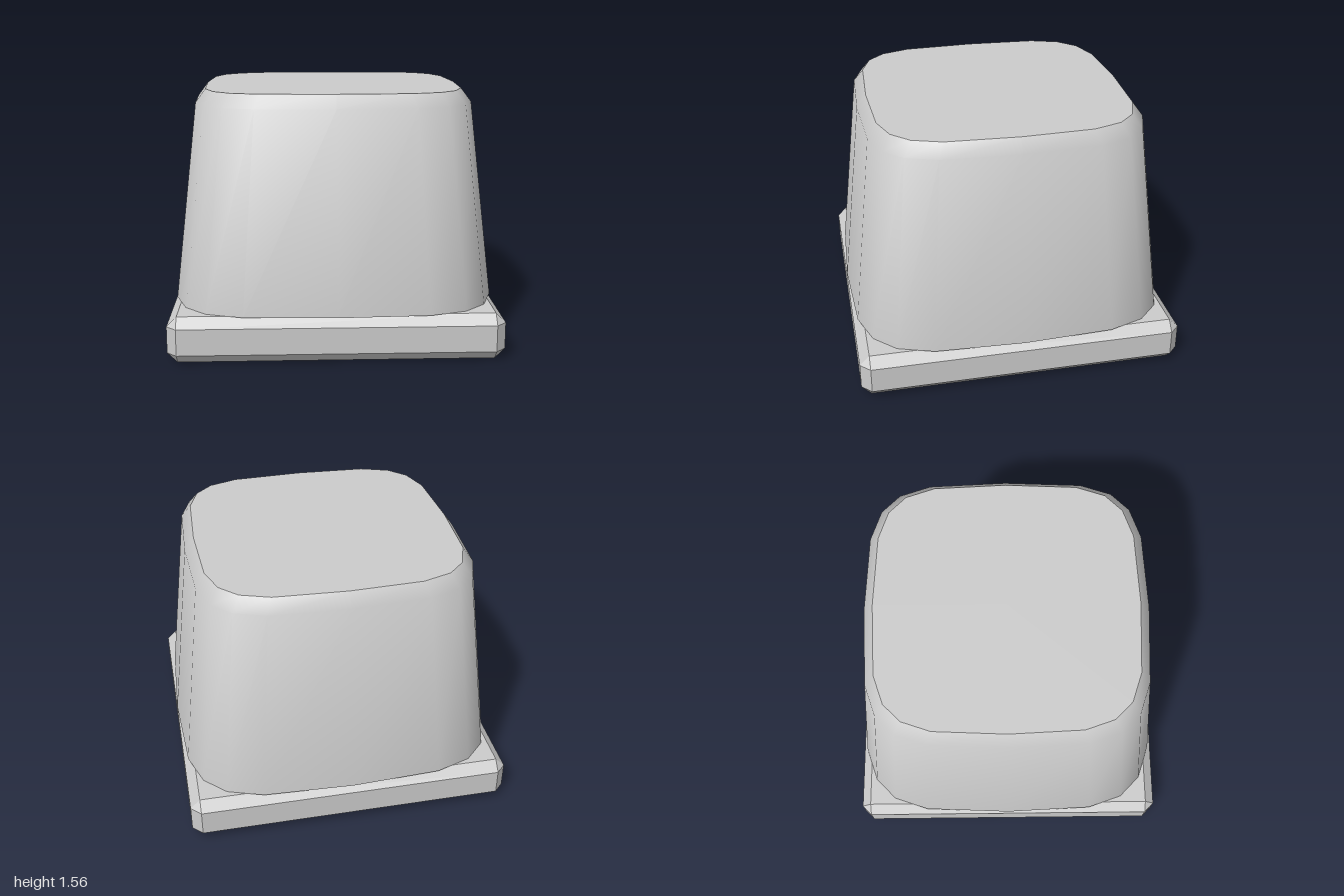
import * as THREE from 'three';
import { toCreasedNormals } from 'three/addons/utils/BufferGeometryUtils.js';
import { ConvexGeometry } from 'three/addons/geometries/ConvexGeometry.js';

// Box with every edge chamfered by c, centred on the origin.
function chamferedBox(w, h, d, c) {
  const points = [];
  for (const sx of [-1, 1]) for (const sy of [-1, 1]) for (const sz of [-1, 1]) {
    const [x, y, z] = [w / 2, h / 2, d / 2];
    for (const [px, py, pz] of [[x, y - c, z - c], [x - c, y, z - c], [x - c, y - c, z]]) {
      points.push(new THREE.Vector3(sx * px, sy * py, sz * pz));
    }
  }
  return new ConvexGeometry(points);
}

// Rounded-square outline: one side of five points, turned four times.
function roundedSquare() {
  const side = [[0, 1], [0.55, 0.975], [0.77, 0.9], [0.9, 0.77], [0.975, 0.55]];
  const loop = [];
  for (let q = 0; q < 4; q++) {
    for (const [x, z] of side) {
      let p = [x, z];
      for (let k = 0; k < q; k++) p = [p[1], -p[0]];
      loop.push(p);
    }
  }
  return loop;
}

// Closed solid from one outline scaled at each [height, scale] level.
function loft(outline, levels) {
  const n = outline.length;
  const positions = [];
  const index = [];
  for (const [y, s] of levels) for (const [x, z] of outline) positions.push(x * s, y, z * s);
  const bottom = n * levels.length;
  const top = bottom + 1;
  positions.push(0, levels[0][0], 0, 0, levels[levels.length - 1][0], 0);
  for (let i = 0; i < n; i++) {
    const j = (i + 1) % n;
    for (let r = 0; r < levels.length - 1; r++) {
      const a = r * n + i, b = r * n + j;
      index.push(a, b, b + n, a, b + n, a + n);
    }
    const last = (levels.length - 1) * n;
    index.push(bottom, j, i, top, last + i, last + j);
  }
  const geometry = new THREE.BufferGeometry();
  geometry.setAttribute('position', new THREE.Float32BufferAttribute(positions, 3));
  geometry.setIndex(index);
  return toCreasedNormals(geometry, THREE.MathUtils.degToRad(42));
}

export function createModel() {
  const group = new THREE.Group();

  // Square base slab
  const base = new THREE.Mesh(
    chamferedBox(2, 0.28, 2, 0.06),
    new THREE.MeshStandardMaterial({ color: 0xcccccc, flatShading: true })
  );
  base.name = 'baseSlab';
  base.position.y = 0.14;
  group.add(base);

  // Tapered body with a bevelled top rim
  const body = new THREE.Mesh(
    loft(roundedSquare(), [[0.28, 1], [1.48, 0.86], [1.56, 0.8]]),
    new THREE.MeshStandardMaterial({ color: 0xcccccc })
  );
  body.name = 'taperedBody';
  group.add(body);

  return group;
}
